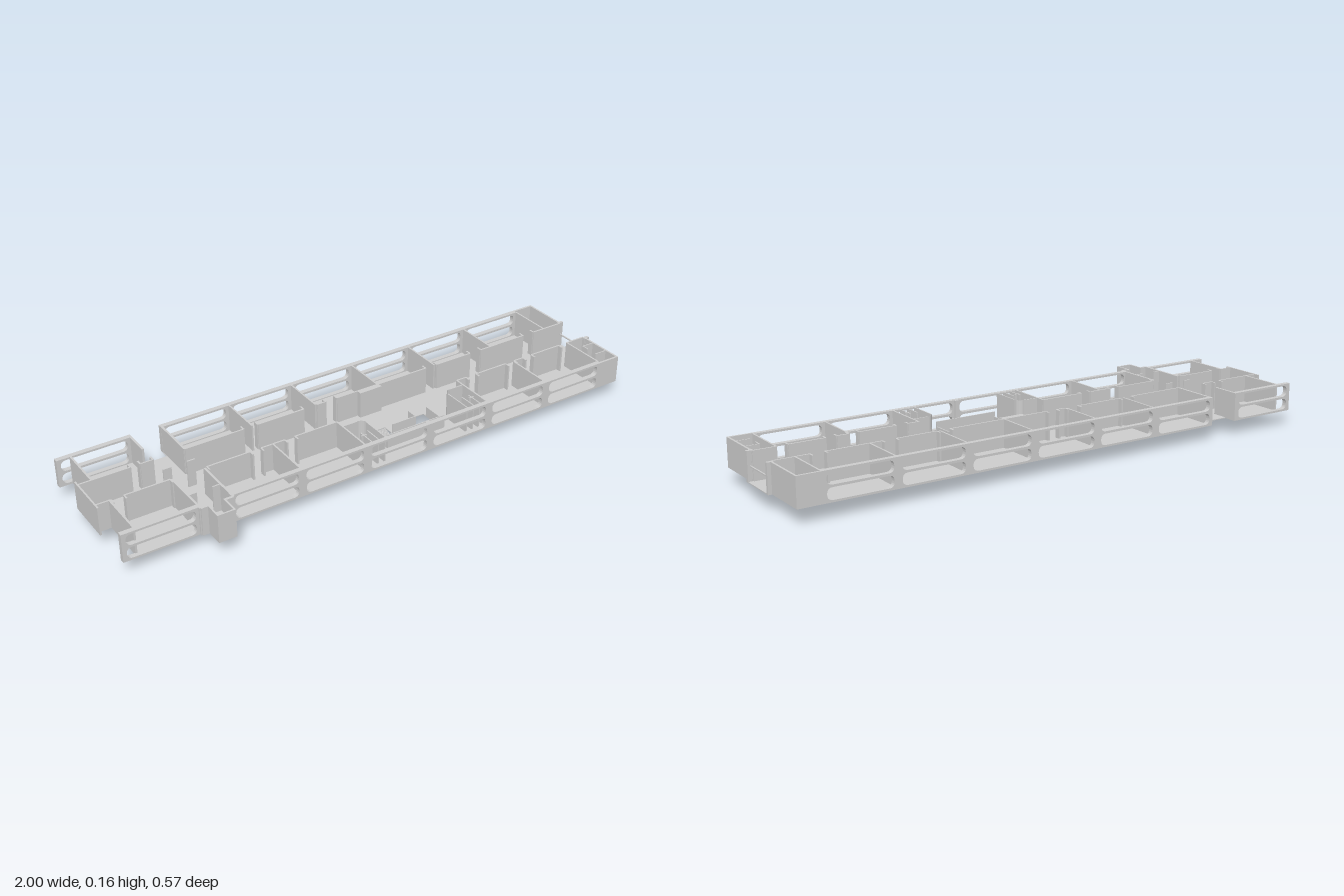
import * as THREE from 'three';

const BASE = 0.053, TOP = 0.155, FLOOR = 0.056;
const mat = new THREE.MeshStandardMaterial({ color: 0xcccccc, flatShading: true, side: THREE.DoubleSide });

export function createModel() {
  const model = new THREE.Group();

  function add(parent, name, geometry) {
    const m = new THREE.Mesh(geometry, mat);
    m.name = name;
    parent.add(m);
    return m;
  }
  function group(name) {
    const g = new THREE.Group();
    g.name = name;
    model.add(g);
    return g;
  }
  // Box given by its extents in x, z and y
  function block(parent, name, x1, x2, z1, z2, y1 = BASE, y2 = TOP) {
    const m = add(parent, name, new THREE.BoxGeometry(x2 - x1, y2 - y1, z2 - z1));
    m.position.set((x1 + x2) / 2, (y1 + y2) / 2, (z1 + z2) / 2);
  }
  const points = list => list.map(([x, z]) => new THREE.Vector2(x, z));

  // Floor slab with a U-shaped stairwell opening
  const slab = new THREE.Shape(points([
    [-1, -0.108], [-0.95, -0.108], [-0.95, -0.286], [-0.735, -0.286], [-0.735, -0.24], [-0.625, -0.24],
    [-0.625, -0.286], [0.985, -0.286], [0.985, -0.118], [0.998, -0.118], [0.998, 0.04], [0.985, 0.04],
    [0.985, 0.213], [-0.62, 0.213], [-0.62, 0.225], [-0.65, 0.225], [-0.65, 0.286], [-0.71, 0.286],
    [-0.71, 0.225], [-0.735, 0.225], [-0.735, 0.213], [-0.95, 0.213], [-0.95, 0.03], [-1, 0.03]]));
  slab.holes.push(new THREE.Path(points([
    [0.025, 0.015], [0.025, 0.13], [0.255, 0.13], [0.255, 0.015], [0.19, 0.015],
    [0.19, 0.062], [0.09, 0.062], [0.09, 0.015]])));
  const slabGeo = new THREE.ExtrudeGeometry(slab, { depth: FLOOR - BASE, bevelEnabled: false });
  slabGeo.rotateX(Math.PI / 2).translate(0, FLOOR, 0);
  add(model, 'floorSlab', slabGeo);

  // Rounded window slot as a hole path
  function slot(x1, x2, y1, y2, r) {
    const p = new THREE.Path();
    p.moveTo(x1 + r, y1);
    p.lineTo(x2 - r, y1);
    p.quadraticCurveTo(x2, y1, x2, y1 + r);
    p.lineTo(x2, y2 - r);
    p.quadraticCurveTo(x2, y2, x2 - r, y2);
    p.lineTo(x1 + r, y2);
    p.quadraticCurveTo(x1, y2, x1, y2 - r);
    p.lineTo(x1, y1 + r);
    p.quadraticCurveTo(x1, y1, x1 + r, y1);
    return p;
  }
  // Facade strip with two rows of slots in every bay
  function facade(name, xs, z) {
    const a = xs[0], b = xs[xs.length - 1];
    const s = new THREE.Shape(points([[a, BASE], [b, BASE], [b, TOP], [a, TOP]]));
    for (let i = 0; i < xs.length - 1; i++) {
      for (const [y1, y2] of [[0.06, 0.1], [0.108, 0.148]])
        s.holes.push(slot(xs[i] + 0.014, xs[i + 1] - 0.014, y1, y2, 0.019));
    }
    const g = new THREE.ExtrudeGeometry(s, { depth: 0.018, bevelEnabled: false, curveSegments: 5 });
    add(model, name, g.translate(0, 0, z));
  }
  const bays = [-0.625, -0.365, -0.115, 0.14, 0.39, 0.645, 0.9];
  const wing = [-1, -0.735];
  facade('frontFacade', bays, 0.196);
  facade('frontWingFacade', wing, 0.196);
  facade('backFacade', bays, -0.286);
  facade('backWingFacade', wing, -0.286);

  // Room partitions across the building
  const rooms = group('partitions');
  for (const x of bays.slice(1)) {
    block(rooms, 'backPartition', x - 0.003, x + 0.003, -0.27, -0.108);
    if (x !== 0.14) block(rooms, 'frontPartition', x - 0.003, x + 0.003, 0.03, 0.2);
  }
  block(rooms, 'lobbyPost', 0.133, 0.147, 0.188, 0.2);

  // End walls
  const ends = group('endWalls');
  block(ends, 'leftRoomEnd', -0.953, -0.946, -0.27, -0.108);
  block(ends, 'leftRoomEnd', -0.953, -0.946, 0.03, 0.2);
  block(ends, 'corridorEnd', -1, -0.994, -0.111, 0.033);
  block(ends, 'corridorRail', 0.985, 0.99, -0.107, 0.028, 0.103, 0.107);
  block(ends, 'rightBackEnd', 0.978, 0.985, -0.286, -0.118);
  block(ends, 'rightBackCorner', 0.9, 0.985, -0.286, -0.278);
  block(ends, 'rightFrontEnd', 0.978, 0.985, 0.028, 0.214);
  block(ends, 'rightFrontCorner', 0.9, 0.985, 0.206, 0.214);
  for (const [z1, z2] of [[-0.118, -0.107], [0.028, 0.04]])
    block(ends, 'corridorPier', 0.975, 0.998, z1, z2);

  // Corridor walls: each run ends at a doorway with a stub jamb turned into the room
  const corridor = group('corridorWalls');
  function corridorWall(name, z, runs, side) {
    for (const [x1, x2] of runs) {
      block(corridor, name, x1, x2, z - 0.003, z + 0.003);
      for (const x of [x1, x2]) {
        const zs = [z, z + side * 0.02].sort((p, q) => p - q);
        block(corridor, 'doorJamb', x - 0.003, x + 0.003, zs[0], zs[1]);
      }
    }
  }
  corridorWall('backCorridorWall', -0.106, [[-0.997, -0.815], [-0.78, -0.735], [-0.62, -0.4], [-0.345, -0.165],
    [-0.11, -0.075], [-0.03, 0.35], [0.4, 0.55], [0.6, 0.8], [0.85, 0.98]], -1);
  corridorWall('frontCorridorWall', 0.027, [[-0.997, -0.945], [-0.9, -0.74], [-0.61, -0.45], [-0.41, -0.32],
    [-0.28, -0.115], [0.39, 0.43], [0.475, 0.61], [0.65, 0.69], [0.73, 0.86], [0.9, 0.98]], 1);
  block(corridor, 'corridorCabinet', 0.055, 0.145, -0.106, -0.086);

  // Side stair hall with a projecting bay at the front and an open recess at the back
  const hall = group('sideHall');
  for (const x of [-0.735, -0.62]) block(hall, 'hallFrontWall', x - 0.004, x + 0.004, 0.03, 0.22);
  block(hall, 'hallBackWall', -0.739, -0.731, -0.286, -0.18);
  block(hall, 'hallBackWall', -0.624, -0.616, -0.286, -0.108);
  for (const [x1, x2] of [[-0.735, -0.705], [-0.65, -0.62]]) {
    block(hall, 'hallCorridorScreen', x1, x2, -0.038, -0.033);
    block(hall, 'hallScreen', x1, x2, 0.135, 0.14);
    block(hall, 'bayShoulder', x1, x2, 0.215, 0.225);
  }
  for (const x of [-0.709, -0.651]) block(hall, 'baySide', x - 0.003, x + 0.003, 0.215, 0.286);
  block(hall, 'bayFront', -0.712, -0.648, 0.28, 0.286);

  // Washrooms: a curved screen and cubicle dividers, mirrored either side of the lobby
  function washroom(x0, dir) {
    const g = group('washroom');
    g.position.x = x0;
    const at = (name, a, b, z1, z2) => block(g, name, Math.min(a * dir, b * dir), Math.max(a * dir, b * dir), z1, z2);
    for (const a of [0.028, 0.055]) at('cubicleDivider', a - 0.002, a + 0.002, 0.13, 0.196);
    at('cubicleFront', 0.018, 0.04, 0.146, 0.15);
    at('outerScreen', 0.08, 0.084, 0.085, 0.196);
    at('entryScreen', 0, 0.06, 0.061, 0.065);
    const arc = new THREE.CylinderGeometry(0.022, 0.022, TOP - BASE, 6, 1, true,
      dir > 0 ? Math.PI / 2 : Math.PI, Math.PI / 2);
    add(g, 'curvedScreen', arc).position.set(dir * 0.06, (BASE + TOP) / 2, 0.085);
  }
  washroom(-0.115, 1);
  washroom(0.39, -1);

  // Small service rooms in the front right corner
  const service = group('serviceRoom');
  block(service, 'serviceScreen', 0.93, 0.98, 0.08, 0.084);
  block(service, 'serviceScreen', 0.93, 0.934, 0.084, 0.11);
  block(service, 'serviceScreen', 0.93, 0.98, 0.15, 0.154);

  // Stair descending below the floor: three flights around two landings
  const stair = group('stair');
  const mix = THREE.MathUtils.lerp;
  function flight(n, x1, x2, z1, z2, alongX, yHigh, yLow) {
    const rise = (yHigh - yLow) / n;
    for (let i = 0; i < n; i++) {
      const y = yHigh - i * rise, a = i / n, b = (i + 1) / n;
      const xs = alongX ? [mix(x1, x2, a), mix(x1, x2, b)] : [x1, x2];
      const zs = alongX ? [z1, z2] : [mix(z1, z2, a), mix(z1, z2, b)].sort((p, q) => p - q);
      block(stair, 'step', xs[0], xs[1], zs[0], zs[1], Math.max(0, y - rise - 0.002), y);
    }
  }
  flight(12, 0.025, 0.09, 0.017, 0.065, false, 0.054, 0.039);
  block(stair, 'upperLanding', 0.025, 0.09, 0.065, 0.127, 0.036, 0.039);
  flight(12, 0.09, 0.19, 0.065, 0.127, true, 0.039, 0.014);
  block(stair, 'lowerLanding', 0.19, 0.255, 0.065, 0.127, 0.011, 0.014);
  flight(10, 0.19, 0.255, 0.065, 0.025, false, 0.014, 0.001);

  // Guards round the stairwell, higher along the front
  const guard = group('stairGuard');
  const guards = [[0.021, 0.025, 0.04, 0.134, 0.092], [0.255, 0.259, 0.03, 0.134, 0.092],
    [0.021, 0.259, 0.13, 0.134, 0.11], [0.09, 0.19, 0.058, 0.062, 0.092], [0.186, 0.19, 0.018, 0.06, 0.092]];
  for (const [x1, x2, z1, z2, y] of guards) block(guard, 'guardPanel', x1, x2, z1, z2, BASE, y);

  return model;
}
